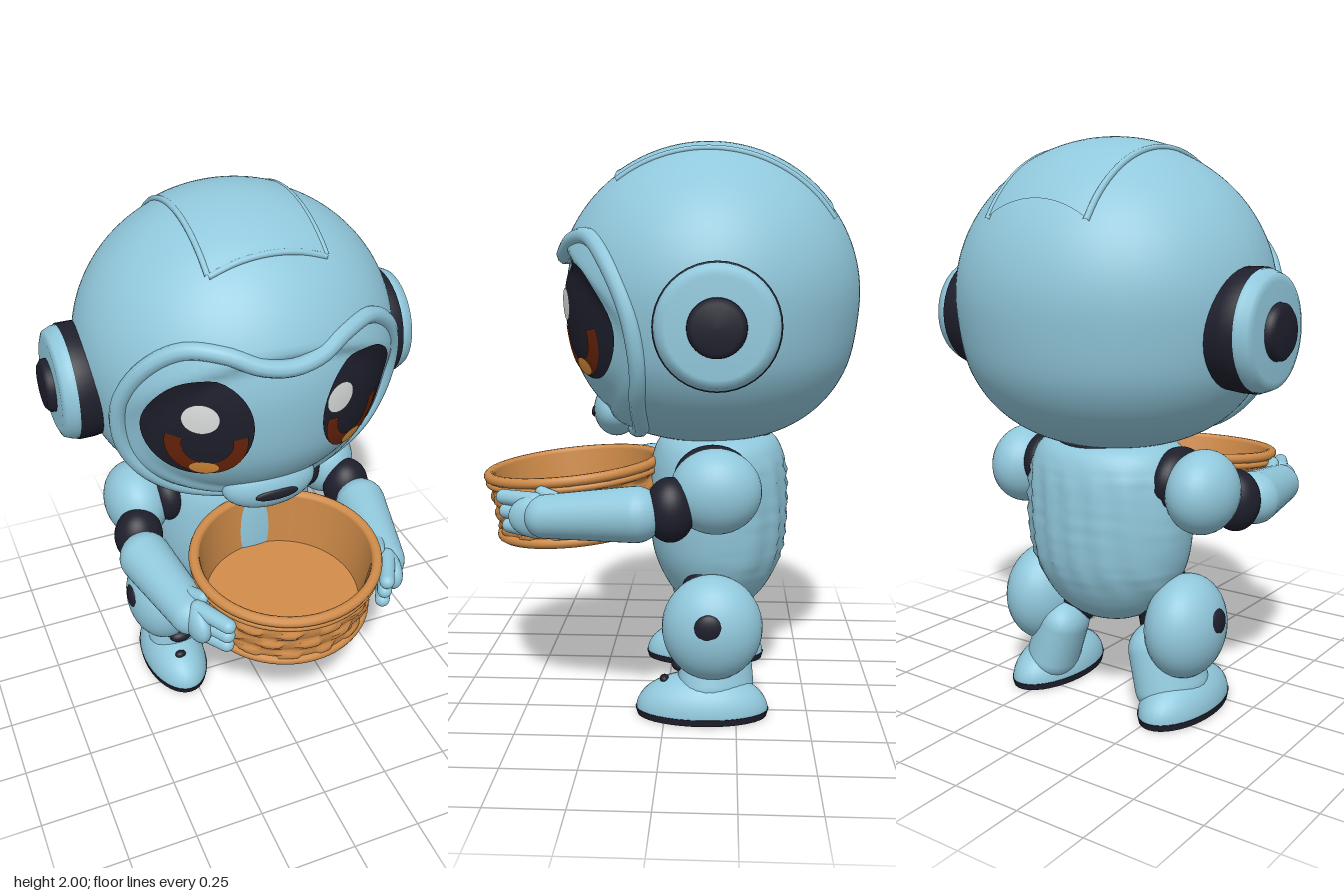
import * as THREE from 'three';

const mat = (name, color, side = THREE.FrontSide) => {
  const m = new THREE.MeshStandardMaterial({ color, side });
  m.name = name;
  return m;
};
const blue = mat('pale blue', 0x91c8dc);
const dark = mat('dark navy', 0x1e1f2c);
const wicker = mat('wicker orange', 0xcf8b49, THREE.DoubleSide);
const brown = mat('iris brown', 0x6a2409);
const amber = mat('iris amber', 0xe0923c);
const white = mat('eye highlight', 0xdfe2e2);

const V = (x, y, z) => new THREE.Vector3(x, y, z);

function add(parent, name, geo, material, x = 0, y = 0, z = 0) {
  const m = new THREE.Mesh(geo, material);
  m.name = name;
  m.position.set(x, y, z);
  parent.add(m);
  return m;
}

function group(parent, name) {
  const g = new THREE.Group();
  g.name = name;
  parent.add(g);
  return g;
}

function ellipsoid(parent, name, material, r, p) {
  return add(parent, name, new THREE.SphereGeometry(1, 32, 22).scale(...r), material, ...p);
}

// Tapered capsule from a to b
function limb(parent, name, material, a, b, ra, rb, depth = 1) {
  const dir = b.clone().sub(a), len = dir.length(), pts = [];
  for (let i = 0; i <= 8; i++) {
    const t = (i / 8 - 1) * Math.PI / 2;
    pts.push(new THREE.Vector2(ra * Math.cos(t), ra * Math.sin(t)));
  }
  for (let i = 0; i <= 8; i++) {
    const t = (i / 8) * Math.PI / 2;
    pts.push(new THREE.Vector2(rb * Math.cos(t), len + rb * Math.sin(t)));
  }
  const m = add(parent, name, new THREE.LatheGeometry(pts, 28), material, a.x, a.y, a.z);
  m.quaternion.setFromUnitVectors(V(0, 1, 0), dir.normalize());
  m.scale.z = depth;
  return m;
}

// Move every vertex by a rule, then refresh the normals
function reshape(geo, rule) {
  const p = geo.attributes.position, v = V(0, 0, 0);
  for (let i = 0; i < p.count; i++) {
    rule(v.fromBufferAttribute(p, i));
    p.setXYZ(i, v.x, v.y, v.z);
  }
  geo.computeVertexNormals();
  return geo;
}

// Head surface: an ellipsoid with fuller cheeks and a recessed face
const H = { a: 0.565, b: 0.525, c: 0.54, y: 1.465, z: -0.14 };
const section = (v) => {
  const p = 2 + 0.4 * THREE.MathUtils.smoothstep(-v, 0, 0.5);
  return Math.pow(Math.max(0, 1 - Math.pow(Math.abs(v), p)), 1 / p);
};
const recess = (x, y) => {
  const e = (x / 0.5) ** 2 + ((y - 1.33) / 0.31) ** 2;
  return 0.032 * (1 - THREE.MathUtils.smoothstep(e, 0.75, 1.05));
};
const skullZ = (x, y) =>
  H.z + H.c * Math.sqrt(Math.max(0, section((y - H.y) / H.b) ** 2 - (x / H.a) ** 2));
const crownY = (x, z) =>
  H.y + H.b * Math.sqrt(Math.max(0, 1 - (x / H.a) ** 2 - ((z - H.z) / H.c) ** 2));

// Thin plate lying on the face
function facePlate(parent, name, material, cx, cy, rx, ry, lift, inner = 0, start = 0, sweep = Math.PI * 2) {
  const geo = reshape(new THREE.RingGeometry(inner, 1, 40, 6, start, sweep), (v) => {
    const x = cx + v.x * rx, y = cy + v.y * ry;
    v.set(x, y, skullZ(x, y) - recess(x, y) + lift);
  });
  add(parent, name, geo, material);
}

function tube(parent, name, material, pts, r, closed = false) {
  const curve = new THREE.CatmullRomCurve3(pts, closed);
  return add(parent, name, new THREE.TubeGeometry(curve, 100, r, 10, closed), material);
}

function buildHead(root) {
  const head = group(root, 'head');
  add(head, 'skull', reshape(new THREE.SphereGeometry(1, 112, 80), (v) => {
    const k = section(v.y) / Math.max(1e-6, Math.hypot(v.x, v.z));
    v.set(v.x * k * H.a, H.y + v.y * H.b, H.z + v.z * k * H.c);
    if (v.z > 0) v.z -= recess(v.x, v.y);
  }), blue);

  // Brow and cheek rim
  const half = [[0.1, 1.615], [0.2, 1.655], [0.32, 1.66], [0.43, 1.58], [0.495, 1.42],
    [0.48, 1.25], [0.4, 1.12], [0.26, 1.02]];
  const loop = [[0, 1.6], ...half, [0, 0.985], ...half.slice().reverse().map(([x, y]) => [-x, y])];
  tube(head, 'faceRim', blue, loop.map(([x, y]) => V(x, y, skullZ(x, y) - 0.008)), 0.03, true);

  // Raised crown panel with edge ridges
  add(head, 'crownPanel', reshape(new THREE.PlaneGeometry(0.4, 0.74, 16, 30).rotateX(-Math.PI / 2), (v) => {
    v.z -= 0.2;
    v.y = crownY(v.x, v.z) + 0.01;
  }), blue);
  for (const s of [-1, 1]) {
    const pts = [];
    for (let i = 0; i <= 14; i++) {
      const z = 0.17 - i * 0.74 / 14;
      pts.push(V(s * 0.2, crownY(0.2, z) + 0.002, z));
    }
    tube(head, 'crownRidge', blue, pts, 0.011);
  }
  tube(head, 'crownFrontEdge', blue, [-0.2, -0.1, 0, 0.1, 0.2].map((x) => V(x, crownY(x, 0.17), 0.17)), 0.011);

  // Eyes
  for (const s of [-1, 1]) {
    const eye = group(head, s > 0 ? 'leftEye' : 'rightEye');
    facePlate(eye, 'eyeball', dark, s * 0.283, 1.383, 0.162, 0.197, 0.008);
    facePlate(eye, 'iris', brown, s * 0.262, 1.335, 0.122, 0.14, 0.012, 0.62, Math.PI - 0.2, Math.PI + 0.4);
    facePlate(eye, 'irisGlow', amber, s * 0.268, 1.227, 0.045, 0.03, 0.016);
    facePlate(eye, 'highlight', white, s > 0 ? 0.185 : -0.285, 1.435, 0.055, 0.056, 0.014);
  }

  // Muzzle
  ellipsoid(head, 'muzzle', blue, [0.175, 0.1, 0.085], [0, 1.05, 0.19]);
  ellipsoid(head, 'mouth', dark, [0.08, 0.022, 0.012], [0, 1.04, 0.27]);

  // Ear discs, turned about the x axis
  const disc = (pts) => new THREE.LatheGeometry(pts.map(([r, h]) => new THREE.Vector2(r, h)), 40).rotateZ(-Math.PI / 2);
  for (const s of [-1, 1]) {
    const ear = group(head, s > 0 ? 'leftEar' : 'rightEar');
    ear.position.set(0, 1.38, -0.178);
    if (s < 0) ear.rotation.y = Math.PI;
    add(ear, 'earBand', disc([[0.195, 0.48], [0.203, 0.55], [0.203, 0.6], [0.19, 0.606]]), dark);
    add(ear, 'earCap', disc([[0.198, 0.6], [0.198, 0.615], [0.185, 0.645], [0.16, 0.655], [0, 0.658]]), blue);
    add(ear, 'earHub', disc([[0.095, 0.64], [0.092, 0.672], [0.075, 0.686], [0, 0.688]]), dark);
  }
}

function buildBody(root) {
  const body = group(root, 'body');
  const profile = [[0, 0.305], [0.11, 0.32], [0.21, 0.385], [0.285, 0.5], [0.312, 0.62], [0.315, 0.76],
    [0.3, 0.88], [0.25, 0.955], [0.13, 0.985], [0, 0.99]].map(([x, y]) => new THREE.Vector2(x, y));
  const pts = new THREE.SplineCurve(profile).getPoints(44);
  pts.forEach((p) => { p.x = Math.max(0, p.x); });
  // Torso with shaggy relief on the back
  add(body, 'torso', reshape(new THREE.LatheGeometry(pts, 72), (v) => {
    const back = THREE.MathUtils.smoothstep(-v.z, -0.02, 0.12) * THREE.MathUtils.smoothstep(v.y, 0.42, 0.55)
      * (1 - THREE.MathUtils.smoothstep(v.y, 0.82, 0.92));
    const k = 1 + 0.035 * back * Math.sin(38 * v.x + 55 * v.y) * Math.sin(61 * v.y - 27 * v.x + 1);
    v.set(v.x * k, v.y, v.z * k * 0.8);
  }), blue, 0, 0, -0.18);
  const collar = add(body, 'collar', new THREE.CylinderGeometry(0.17, 0.205, 0.12, 36), dark, 0, 0.97, -0.19);
  collar.scale.z = 0.95;
}

function buildArm(root, s) {
  const arm = group(root, s > 0 ? 'leftArm' : 'rightArm');
  ellipsoid(arm, 'shoulderJoint', dark, [0.08, 0.115, 0.135], [s * 0.28, 0.845, -0.165]);
  ellipsoid(arm, 'shoulder', blue, [0.12, 0.145, 0.155], [s * 0.385, 0.82, -0.175]);
  ellipsoid(arm, 'elbowJoint', dark, [0.09, 0.11, 0.085], [s * 0.425, 0.765, -0.025]);
  limb(arm, 'forearm', blue, V(s * 0.435, 0.75, 0.09), V(s * 0.375, 0.725, 0.4), 0.095, 0.075);
  ellipsoid(arm, 'palm', blue, [0.045, 0.075, 0.1], [s * 0.365, 0.722, 0.43]);
  // Fingers curling round the basket
  [0.775, 0.725, 0.675].forEach((y, i) =>
    limb(arm, 'finger', blue, V(s * 0.36, y, 0.44), V(s * 0.297, y, 0.56 - i * 0.01), 0.03, 0.026));
  limb(arm, 'thumb', blue, V(s * 0.375, 0.77, 0.34), V(s * 0.335, 0.8, 0.42), 0.03, 0.022);
}

function buildLeg(root, s) {
  const leg = group(root, s > 0 ? 'leftLeg' : 'rightLeg');
  limb(leg, 'thigh', dark, V(s * 0.2, 0.45, -0.15), V(s * 0.22, 0.3, -0.12), 0.085, 0.095, 1.15);
  ellipsoid(leg, 'kneeGuard', blue, [0.135, 0.185, 0.175], [s * 0.315, 0.325, -0.165]);
  ellipsoid(leg, 'kneeBolt', dark, [0.022, 0.052, 0.052], [s * 0.432, 0.355, -0.155]);
  limb(leg, 'shin', blue, V(s * 0.228, 0.235, -0.17), V(s * 0.268, 0.1, -0.18), 0.098, 0.1, 1.4);
  ellipsoid(leg, 'ankleBolt', dark, [0.045, 0.025, 0.03], [s * 0.275, 0.178, -0.052]);
  // Foot dome and sole
  const dome = new THREE.SphereGeometry(1, 36, 14, 0, Math.PI * 2, 0, Math.PI / 2).scale(0.124, 0.13, 0.232);
  add(leg, 'foot', dome, blue, s * 0.287, 0.022, -0.13);
  ellipsoid(leg, 'footBolt', dark, [0.022, 0.014, 0.016], [s * 0.295, 0.128, 0.002]);
  add(leg, 'sole', new THREE.CylinderGeometry(1, 0.97, 0.024, 40).scale(0.126, 1, 0.235), dark, s * 0.287, 0.012, -0.13);
}

function buildBasket(root) {
  const basket = group(root, 'basket');
  basket.position.set(0, 0.722, 0.343);
  basket.rotation.x = 0.1;
  basket.scale.x = 1.03;
  // Woven wall: alternating bulges in four rows
  add(basket, 'wovenWall', reshape(new THREE.CylinderGeometry(0.312, 0.285, 0.23, 112, 24, true), (v) => {
    const t = (v.y / 0.23 + 0.5) * 4, row = Math.min(3, Math.floor(t));
    const over = Math.sin(14 * Math.atan2(v.x, v.z) + row * Math.PI) > 0 ? 1 : 0.3;
    const k = 1 + 0.05 * over * Math.abs(Math.sin(Math.PI * t));
    v.x *= k;
    v.z *= k;
  }), wicker);
  add(basket, 'innerWall', new THREE.CylinderGeometry(0.295, 0.268, 0.23, 64, 1, true), wicker);
  add(basket, 'floor', new THREE.CylinderGeometry(0.285, 0.285, 0.03, 64), wicker, 0, -0.105, 0);
  for (const [y, r, t] of [[0.112, 0.314, 0.019], [0.085, 0.317, 0.012], [-0.108, 0.29, 0.018]]) {
    add(basket, 'rim', new THREE.TorusGeometry(r, t, 10, 72).rotateX(Math.PI / 2), wicker, 0, y, 0);
  }
}

export function createModel() {
  const root = new THREE.Group();
  root.name = 'robotWithBasket';
  buildHead(root);
  buildBody(root);
  for (const s of [-1, 1]) {
    buildArm(root, s);
    buildLeg(root, s);
  }
  buildBasket(root);
  return root;
}
